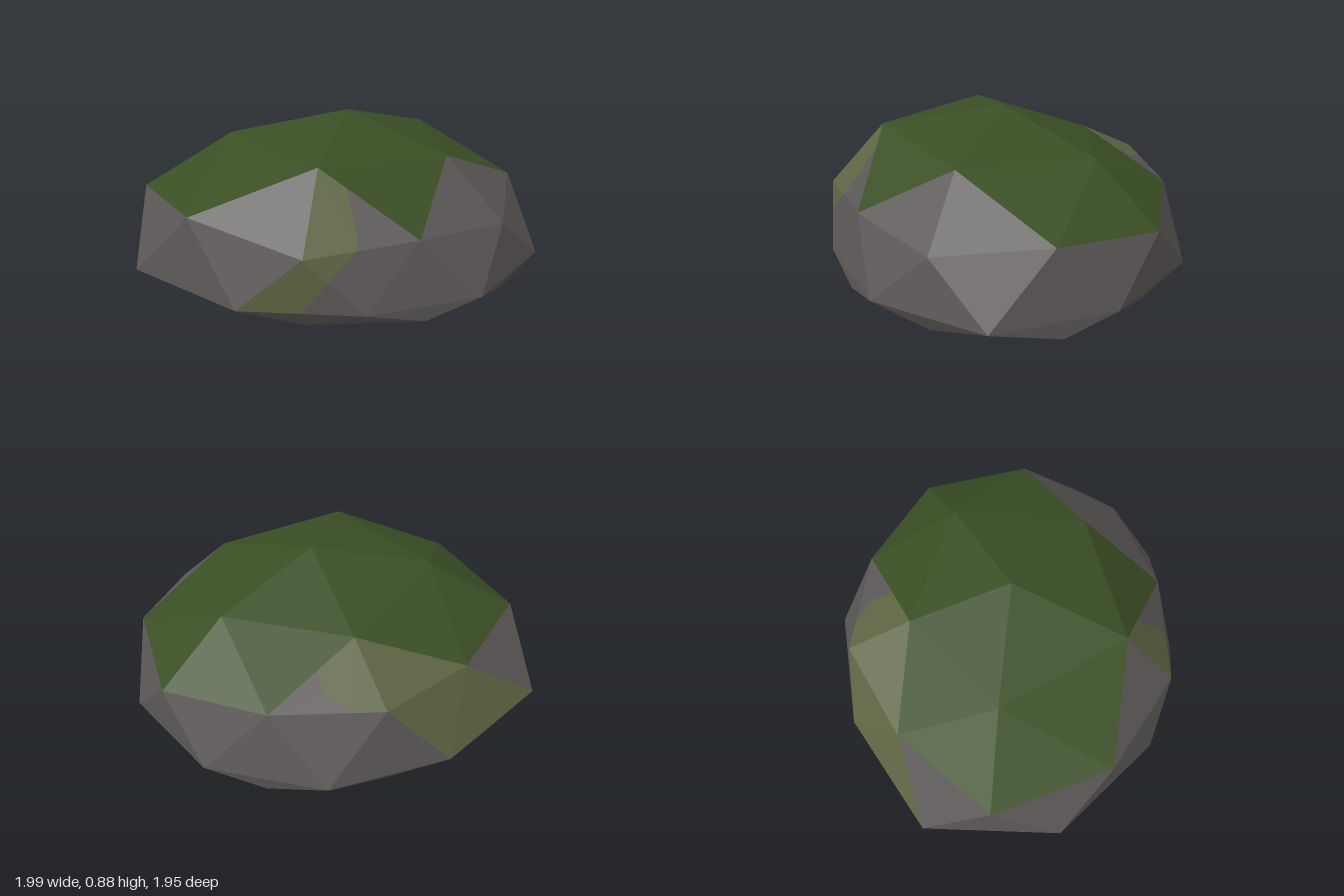
import * as THREE from 'three';

const V = (p) => new THREE.Vector3(...p);
const mix = (a, b, t) => a.clone().lerp(b, t);
const center = new THREE.Vector3(0.08, 0.28, 0.03);

export function createModel() {
  // rings of the faceted boulder, going round from +x towards +z
  const top = V([0.08, 0.88, 0.03]);
  const crown = [[0.64, 0.72, 0.02], [0.245, 0.73, 0.57], [-0.42, 0.77, 0.39], [-0.4, 0.77, -0.33], [0.24, 0.68, -0.47]].map(V);
  const shoulder = [[0.99, 0.455, 0.025], [0.345, 0.44, 0.86], [-0.65, 0.445, 0.56], [-0.77, 0.49, -0.6], [0.34, 0.505, -0.8]].map(V);
  const between = [[0.79, 0.505, 0.54], [-0.17, 0.48, 0.8], [-0.895, 0.54, 0.025], [-0.19, 0.49, -0.8], [0.745, 0.49, -0.46]].map(V);
  const rim = [[0.985, 0.325], [0.67, 0.845], [0.08, 0.97], [-0.45, 0.75], [-0.86, 0.335],
    [-1, -0.325], [-0.61, -0.925], [0.08, -0.975], [0.64, -0.75], [0.985, -0.27]].map(([x, z]) => V([x, 0.178, z]));
  const lowShoulder = [[0.85, 0.09, 0.55], [-0.18, 0.1, 0.86], [-0.81, 0.1, 0.03], [-0.2, 0.09, -0.91], [0.8, 0.1, -0.5]].map(V);
  const lowBetween = [[-0.6, 0.09, 0.52], [-0.68, 0.09, -0.55], [0.34, 0.09, -0.8], [0.93, 0.085, 0.03], [0.345, 0.08, 0.86]].map(V);
  const lowCrown = [[0.53, 0.02, 0.36], [-0.1, 0.03, 0.53], [-0.45, 0.03, 0.03], [-0.1, 0.03, -0.5], [0.53, 0.03, -0.3]].map(V);
  const bottom = V([0.08, 0, 0.03]);

  const parts = { rock: [], moss: [], lichen: [] };

  // adds a flat polygon as a fan, wound to face outwards
  function face(kind, ...pts) {
    for (let i = 1; i < pts.length - 1; i++) {
      const [a, b, c] = [pts[0], pts[i], pts[i + 1]];
      const n = b.clone().sub(a).cross(c.clone().sub(a));
      const mid = a.clone().add(b).add(c).divideScalar(3).sub(center);
      const tri = n.dot(mid) > 0 ? [a, b, c] : [a, c, b];
      tri.forEach((p) => parts[kind].push(p.x, p.y, p.z));
    }
  }

  // splits a crown face so lichen covers the side next to r and v
  function lichenEdge(r, v, m, tr, tv, a, b) {
    const onR = mix(r, m, tr);
    const onV = mix(v, m, tv);
    const inner = r.clone().addScaledVector(v.clone().sub(r), a).addScaledVector(m.clone().sub(r), b);
    face('lichen', r, v, onV, inner, onR);
    face('rock', m, onR, inner, onV);
  }

  for (let i = 0; i < 5; i++) {
    const j = (i + 1) % 5;
    const p = (i + 4) % 5;
    const [r, v, m, mPrev] = [crown[i], shoulder[i], between[i], between[p]];
    const e = rim[2 * i];
    const eNext = rim[2 * i + 1];
    const ePrev = rim[(2 * i + 9) % 10];

    // mossy cap, hanging lower on two sides
    face('moss', top, r, crown[j]);
    face('moss', r, m, crown[j]);
    const side = i === 0 || i === 3 ? 'moss' : 'rock';

    // crown faces beside each shoulder
    if (i === 4) lichenEdge(r, v, m, 0.44, 0.28, 0.31, 0.46);
    else face(side, r, v, m);
    if (i === 2) lichenEdge(r, v, mPrev, 0.28, 0.46, 0.326, 0.414);
    else face(i === 4 ? 'lichen' : side, r, v, mPrev);

    // flanks down to the rim
    face('rock', v, m, e);
    face(i === 3 ? 'lichen' : 'rock', m, e, eNext);
    if (i === 2) {
      // lichen streak running down the flank
      const s1 = mix(v, mPrev, 0.46);
      const s2 = mix(v, ePrev, 0.4);
      const s3 = mix(e, ePrev, 0.5);
      face('lichen', v, s1, s2);
      face('rock', s1, mPrev, ePrev, s2);
      face('lichen', v, s2, s3, e);
      face('rock', s2, ePrev, s3);
    } else {
      face(i === 4 ? 'lichen' : 'rock', v, mPrev, ePrev);
      face('rock', v, e, ePrev);
    }

    // shallow underside, turned by half a step
    const lv = lowShoulder[i];
    const lm = lowBetween[(i + 4) % 5]; // towards the next low shoulder
    const lmPrev = lowBetween[(i + 3) % 5];
    const lr = lowCrown[i];
    face('rock', bottom, lr, lowCrown[j]);
    face('rock', lr, lm, lowCrown[j]);
    face('rock', lr, lv, lm);
    face('rock', lr, lv, lmPrev);
    face('rock', lv, e, eNext);
    face('rock', lv, lm, eNext);
    face('rock', lm, eNext, rim[(2 * i + 2) % 10]);
    face('rock', lmPrev, lv, e);
  }

  const colours = { rock: 0x5c5857, moss: 0x3a4f25, lichen: 0x5e6543 };
  const names = { rock: 'boulder', moss: 'mossCap', lichen: 'lichenPatches' };
  const group = new THREE.Group();
  group.name = 'mossyRock';
  for (const kind of Object.keys(parts)) {
    const geometry = new THREE.BufferGeometry();
    geometry.setAttribute('position', new THREE.Float32BufferAttribute(parts[kind], 3));
    geometry.computeVertexNormals();
    const material = new THREE.MeshStandardMaterial({ color: colours[kind], flatShading: true });
    material.name = kind;
    const mesh = new THREE.Mesh(geometry, material);
    mesh.name = names[kind];
    group.add(mesh);
  }
  return group;
}
